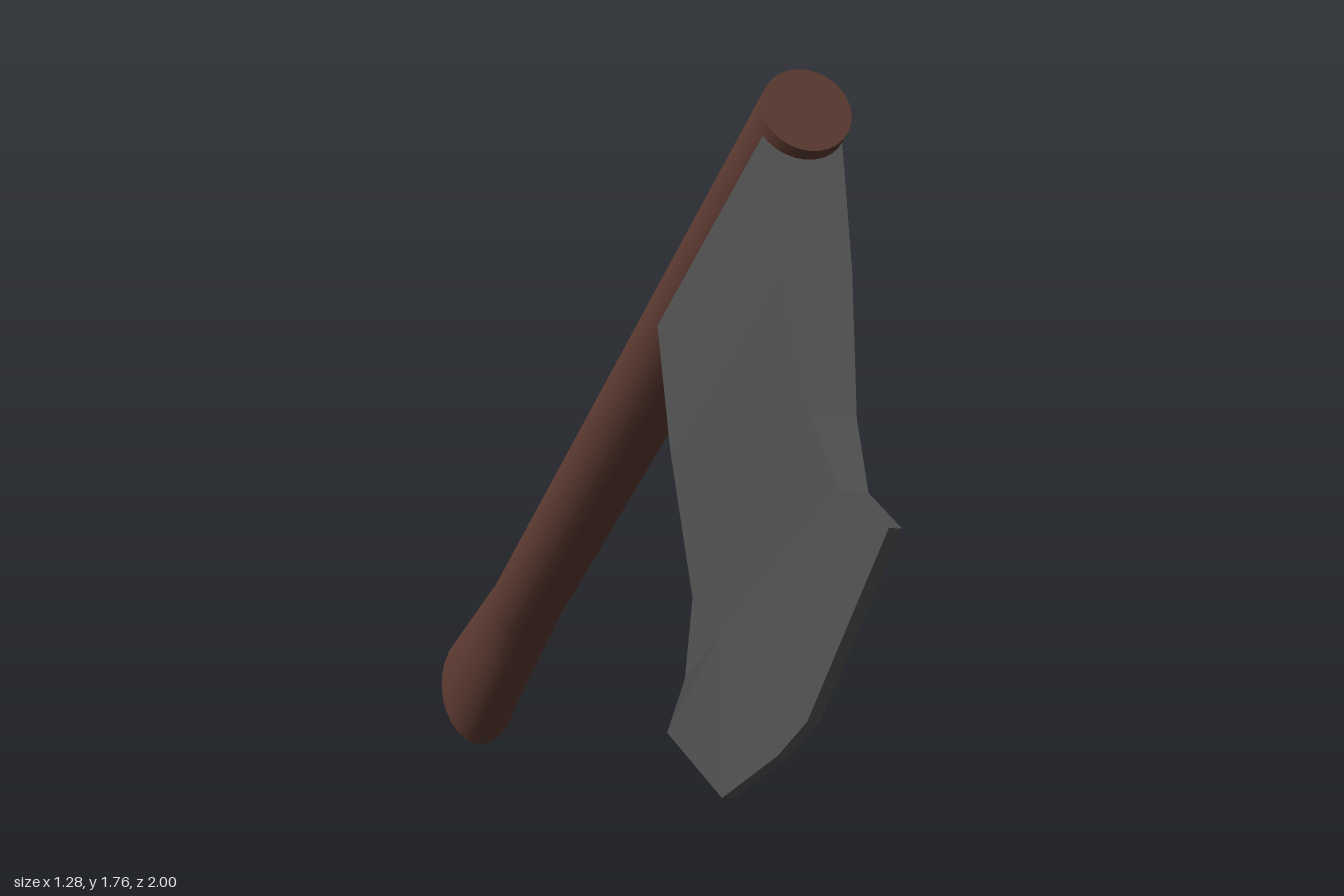
import * as THREE from 'three';
import { toCreasedNormals } from 'three/addons/utils/BufferGeometryUtils.js';

const wood = new THREE.MeshStandardMaterial({ color: 0x5c3a31 });
wood.name = 'dark brown wood';
const steel = new THREE.MeshStandardMaterial({ color: 0x525252 });
steel.name = 'dark grey steel';

// Local frame: origin at the handle's top, +y up the handle, +x toward the cutting edge.

// Handle: round shaft flaring into an oval butt. Rows: [height, half width x, half width z]
function makeHandle() {
  const rows = [[0, 0.067, 0.067], [-1.82, 0.067, 0.067], [-1.95, 0.085, 0.068], [-2.265, 0.119, 0.074]];
  const geo = new THREE.CylinderGeometry(1, 1, 1, 28, rows.length - 1);
  const p = geo.attributes.position;
  for (let i = 0; i < p.count; i++) {
    const [y, rx, rz] = rows[Math.round((0.5 - p.getY(i)) * (rows.length - 1))];
    p.setXYZ(i, p.getX(i) * rx, y, p.getZ(i) * rz);
  }
  const mesh = new THREE.Mesh(toCreasedNormals(geo, 0.6), wood);
  mesh.name = 'handle';
  return mesh;
}

// Blade: closed rings from the handle to the curved cutting edge, thinning outward
function makeBlade() {
  // Each station: upper [x, y], lower [x, y], half thickness
  const stations = [
    [[0, -0.03], [0, -0.625], 0.06],
    [[0.25, -0.009], [0.25, -0.615], 0.052],
    [[0.493, 0.018], [0.5, -0.607], 0.032],
    [[0.631, 0.075], [0.589, -0.714], 0.02],
  ];
  const edge = [[0.749, 0.223], [0.867, -0.166], [0.864, -0.308], [0.826, -0.591], [0.619, -0.869]];
  const splits = [0, 0.36, 0.49, 0.75, 1];
  const lines = stations.map(([a, b, h]) => ({
    h, pts: splits.map(t => [a[0] + (b[0] - a[0]) * t, a[1] + (b[1] - a[1]) * t]),
  }));
  lines.push({ h: 0.009, pts: edge });

  const n = splits.length, ring = 2 * n;
  const positions = [], index = [];
  for (const { h, pts } of lines) {
    for (const [x, y] of pts) positions.push(x, y, h);
    for (const [x, y] of [...pts].reverse()) positions.push(x, y, -h);
  }
  const quad = (a, b, c, d) => index.push(a, b, c, a, c, d);
  for (let i = 0; i < lines.length - 1; i++) {
    for (let j = 0; j < ring; j++) {
      const k = (j + 1) % ring, r = i * ring;
      quad(r + j, r + k, r + ring + k, r + ring + j);
    }
  }
  // Narrow strip along the cutting edge
  const last = (lines.length - 1) * ring;
  for (let j = 0; j < n - 1; j++) {
    quad(last + j, last + j + 1, last + ring - 2 - j, last + ring - 1 - j);
  }
  const geo = new THREE.BufferGeometry();
  geo.setAttribute('position', new THREE.Float32BufferAttribute(positions, 3));
  geo.setIndex(index);
  const mesh = new THREE.Mesh(toCreasedNormals(geo, 0.02), steel);
  mesh.name = 'blade';
  return mesh;
}

export function createModel() {
  const axe = new THREE.Group();
  axe.name = 'axe';
  axe.add(makeHandle(), makeBlade());

  // Lean the whole axe
  const up = new THREE.Vector3(-0.725, 1.635, 1.39).normalize();
  const out = new THREE.Vector3(-0.52, -0.675, 0.523);
  out.addScaledVector(up, -out.dot(up)).normalize();
  const side = new THREE.Vector3().crossVectors(out, up);
  axe.quaternion.setFromRotationMatrix(new THREE.Matrix4().makeBasis(out, up, side));
  axe.position.set(-0.175, 1.725, 0.47);

  const model = new THREE.Group();
  model.name = 'leaningAxe';
  model.add(axe);
  return model;
}
